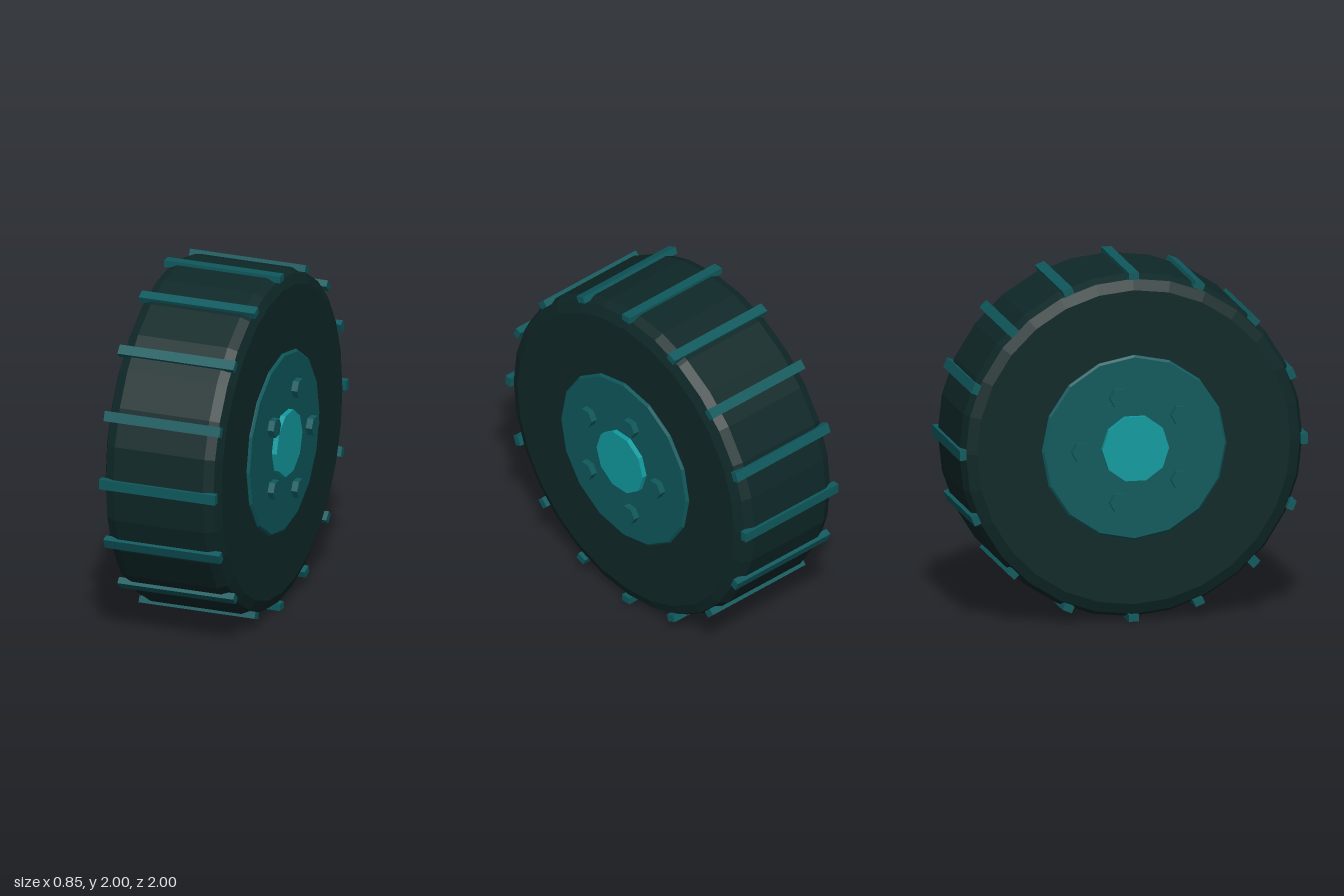
import * as THREE from 'three';

function mat(name, color) {
  const m = new THREE.MeshStandardMaterial({ color, flatShading: true });
  m.name = name;
  return m;
}

// Solid of revolution around the x axis; profile is [x, radius] from -x to +x
function turned(profile, sides) {
  const pts = profile.map(([x, r]) => new THREE.Vector2(r, x));
  return new THREE.LatheGeometry(pts, sides).rotateZ(-Math.PI / 2);
}

// Half profile (centre outwards) mirrored to both sides
function mirrored(half) {
  return [...half.map(([x, r]) => [-x, r]).reverse(), ...half];
}

export function createModel() {
  const rubber = mat('dark rubber', 0x0f2828);
  const teal = mat('teal metal', 0x0f595d);
  const bright = mat('bright teal hub', 0x119ca0);

  const model = new THREE.Group();
  model.name = 'wheel';
  const wheel = new THREE.Group();
  wheel.name = 'wheelAssembly';
  wheel.position.y = 1;
  model.add(wheel);

  function add(name, geometry, material, parent = wheel) {
    const mesh = new THREE.Mesh(geometry, material);
    mesh.name = name;
    parent.add(mesh);
    return mesh;
  }

  // Tyre with rounded shoulders and flat walls
  add('tyre', turned(mirrored([[0.27, 0.985], [0.325, 0.96], [0.35, 0.9], [0.35, 0]]), 28), rubber);

  // Tread bars across the tyre
  const treads = new THREE.Group();
  treads.name = 'treadBars';
  wheel.add(treads);
  const barGeometry = new THREE.BoxGeometry(0.7, 0.04, 0.058).translate(0, 0.98, 0);
  for (let i = 0; i < 16; i++) {
    add('treadBar', barGeometry, teal, treads).rotation.x = (i * Math.PI) / 8;
  }

  // Rim disc running through the tyre, with a small edge bevel
  add('rim', turned(mirrored([[0.355, 0.53], [0.366, 0.518], [0.366, 0]]), 16), teal);

  // Hub cap and five bolts on each side
  const hubGeometry = new THREE.CylinderGeometry(0.192, 0.192, 0.04, 10).rotateZ(-Math.PI / 2);
  const boltGeometry = new THREE.CylinderGeometry(0.057, 0.057, 0.037, 6).rotateZ(-Math.PI / 2);
  for (const side of [1, -1]) {
    add('hubCap', hubGeometry, bright).position.x = side * 0.376;
    for (let i = 0; i < 5; i++) {
      const a = (i * Math.PI * 2) / 5;
      add('bolt', boltGeometry, teal)
        .position.set(side * 0.407, 0.315 * Math.sin(a), -0.315 * Math.cos(a));
    }
  }
  return model;
}
